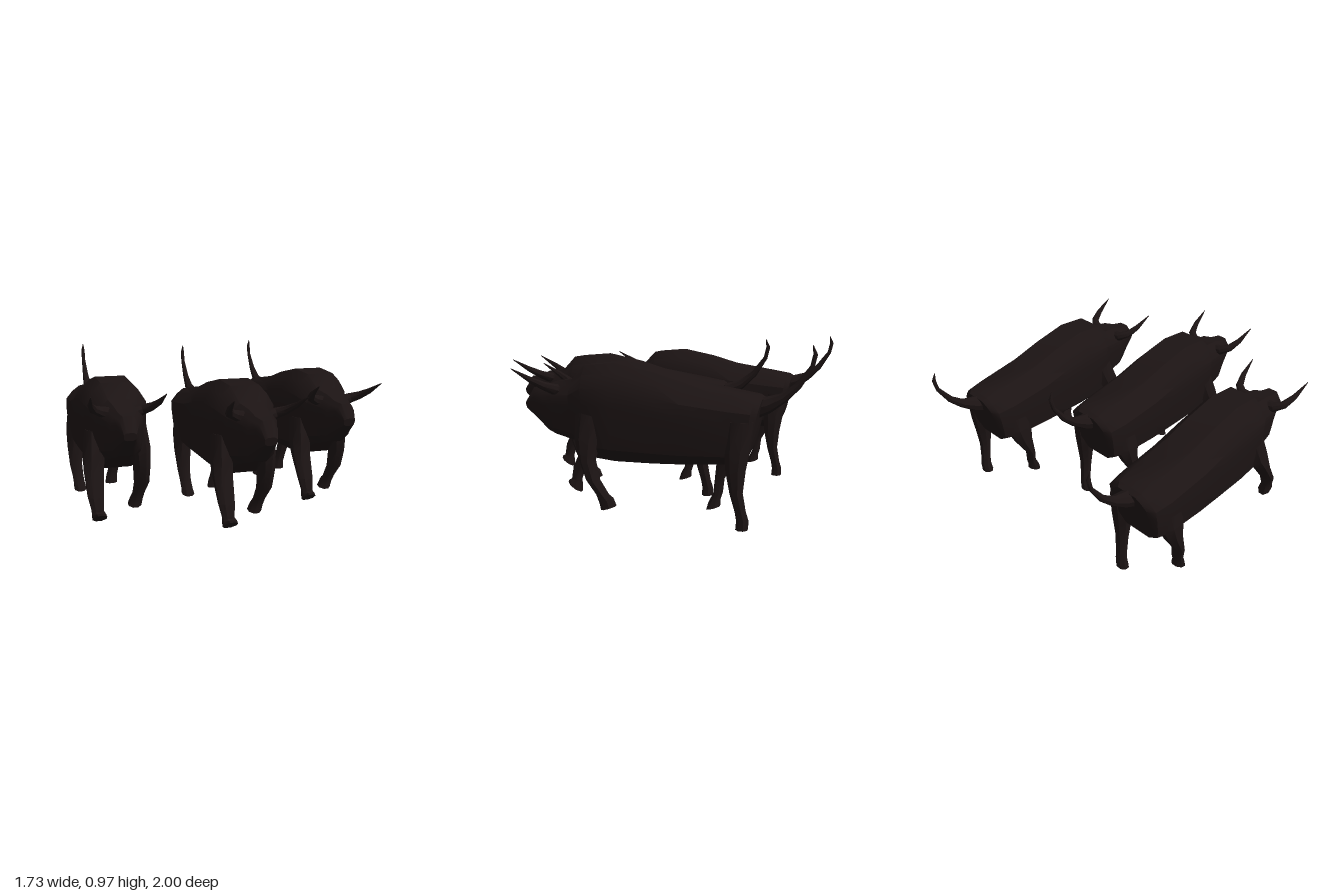
import * as THREE from 'three';
import { toCreasedNormals } from 'three/addons/utils/BufferGeometryUtils.js';

const hide = new THREE.MeshStandardMaterial({ color: 0x1c1414 });

// Skin a list of rings (equal point counts) and close both ends.
function loft(rings) {
  const n = rings[0].length, pos = [], index = [];
  rings.forEach(r => r.forEach(p => pos.push(p.x, p.y, p.z)));
  for (let i = 0; i < rings.length - 1; i++) {
    for (let j = 0; j < n; j++) {
      const a = i * n + j, b = i * n + (j + 1) % n;
      index.push(a, b, b + n, a, b + n, a + n);
    }
  }
  const last = (rings.length - 1) * n;
  for (let j = 1; j < n - 1; j++) {
    index.push(0, j + 1, j, last, last + j, last + j + 1);
  }
  const g = new THREE.BufferGeometry();
  g.setAttribute('position', new THREE.Float32BufferAttribute(pos, 3));
  g.setIndex(index);
  return toCreasedNormals(g, 0.65);
}

// Half outline of the trunk: [share of half width, share of height].
const outline = [[0.5, 0], [0.9, 0.14], [0.97, 0.35], [1, 0.58], [1, 0.76], [0.75, 0.9], [0.47, 1]];

// Trunk, neck and head: [z at top, z at bottom, top y, bottom y, half width].
const stations = [
  [-0.39, -0.33, 0.69, 0.42, 0.13], [-0.36, -0.3, 0.705, 0.36, 0.17],
  [-0.24, -0.22, 0.725, 0.34, 0.185], [0.03, 0.03, 0.77, 0.325, 0.19],
  [0.2, 0.2, 0.82, 0.32, 0.19], [0.42, 0.42, 0.865, 0.32, 0.19],
  [0.6, 0.56, 0.85, 0.335, 0.183], [0.69, 0.67, 0.765, 0.42, 0.13],
  [0.8, 0.79, 0.75, 0.45, 0.115], [0.87, 0.845, 0.72, 0.47, 0.085],
  [0.94, 0.9, 0.71, 0.515, 0.062], [0.995, 0.985, 0.63, 0.585, 0.035],
];

function trunk() {
  const full = [...outline, ...outline.slice().reverse().map(([x, t]) => [-x, t])];
  return loft(stations.map(([zt, zb, top, bot, w]) => full.map(([x, t]) =>
    new THREE.Vector3(x * w, bot + (top - bot) * t, zb + (zt - zb) * t))));
}

// Tapered tube bent in its path: each point is [x, y, z, radius].
function taper(points, sides = 8) {
  const v = points.map(p => new THREE.Vector3(p[0], p[1], p[2]));
  return loft(v.map((c, i) => {
    const dir = v[Math.min(i + 1, v.length - 1)].clone().sub(v[Math.max(i - 1, 0)]).normalize();
    const turn = new THREE.Quaternion().setFromUnitVectors(new THREE.Vector3(0, 0, 1), dir);
    return Array.from({ length: sides }, (_, j) => {
      const a = j / sides * Math.PI * 2, r = points[i][3];
      return new THREE.Vector3(Math.cos(a) * r, Math.sin(a) * r, 0).applyQuaternion(turn).add(c);
    });
  }));
}

// Leg of oval rings from top to sole: [x, y, z, half width x, half depth z, slope].
function leg(side, rows) {
  return loft(rows.map(([x, y, z, rx, rz, slope = 0]) => Array.from({ length: 8 }, (_, j) => {
    const a = (j + 0.5) / 8 * Math.PI * 2;
    const dz = Math.sin(a) * rz * 1.08;
    return new THREE.Vector3(side * x + Math.cos(a) * rx * 1.08, y + dz * slope, z + dz);
  })));
}

const legs = {
  frontRightLeg: leg(-1, [
    [0.13, 0.58, 0.56, 0.05, 0.08], [0.14, 0.44, 0.61, 0.06, 0.08], [0.15, 0.35, 0.66, 0.055, 0.05],
    [0.155, 0.22, 0.74, 0.045, 0.035], [0.15, 0.14, 0.76, 0.033, 0.028],
    [0.145, 0.12, 0.765, 0.038, 0.038, 0.4], [0.14, 0.095, 0.765, 0.04, 0.04, 0.7]]),
  frontLeftLeg: leg(1, [
    [0.13, 0.6, 0.55, 0.05, 0.08], [0.145, 0.45, 0.56, 0.06, 0.07], [0.155, 0.33, 0.56, 0.05, 0.042],
    [0.16, 0.22, 0.525, 0.045, 0.034], [0.15, 0.14, 0.475, 0.035, 0.032],
    [0.14, 0.1, 0.455, 0.036, 0.035, -0.5], [0.13, 0.06, 0.447, 0.04, 0.04, -0.3]]),
  hindRightLeg: leg(-1, [
    [0.12, 0.58, -0.2, 0.055, 0.1], [0.135, 0.43, -0.185, 0.06, 0.085], [0.145, 0.32, -0.165, 0.05, 0.055],
    [0.15, 0.2, -0.122, 0.04, 0.025], [0.14, 0.12, -0.115, 0.035, 0.025],
    [0.135, 0.07, -0.095, 0.036, 0.032, -0.2], [0.13, 0.035, -0.09, 0.04, 0.038, -0.3]]),
  hindLeftLeg: leg(1, [
    [0.13, 0.58, -0.28, 0.055, 0.08], [0.14, 0.43, -0.275, 0.06, 0.065], [0.15, 0.32, -0.27, 0.05, 0.05],
    [0.15, 0.2, -0.275, 0.04, 0.032], [0.135, 0.1, -0.295, 0.034, 0.027],
    [0.125, 0.05, -0.305, 0.036, 0.03], [0.12, 0, -0.302, 0.04, 0.032]]),
};

const parts = {
  bodyAndHead: trunk(),
  ...legs,
  tail: taper([
    [0, 0.64, -0.35, 0.058], [0, 0.655, -0.41, 0.045], [0, 0.695, -0.49, 0.027], [0, 0.76, -0.565, 0.019],
    [0, 0.86, -0.635, 0.012], [0, 0.925, -0.65, 0.012], [0, 0.972, -0.637, 0.002]]),
};
for (const [name, s] of [['leftHorn', 1], ['rightHorn', -1]]) {
  parts[name] = taper([
    [s * 0.06, 0.7, 0.78, 0.038], [s * 0.12, 0.715, 0.775, 0.03], [s * 0.165, 0.735, 0.81, 0.024],
    [s * 0.19, 0.77, 0.88, 0.017], [s * 0.204, 0.83, 0.99, 0.002]]);
}

function bull(name, x, z) {
  const group = new THREE.Group();
  group.name = name;
  for (const [part, geometry] of Object.entries(parts)) {
    const mesh = new THREE.Mesh(geometry, hide);
    mesh.name = part;
    group.add(mesh);
  }
  group.position.set(x, 0, z);
  return group;
}

export function createModel() {
  const model = new THREE.Group();
  model.name = 'threeBulls';
  model.add(bull('middleBull', 0.01, 0), bull('leftBull', 0.655, -0.34), bull('rightBull', -0.657, -0.34));
  return model;
}
